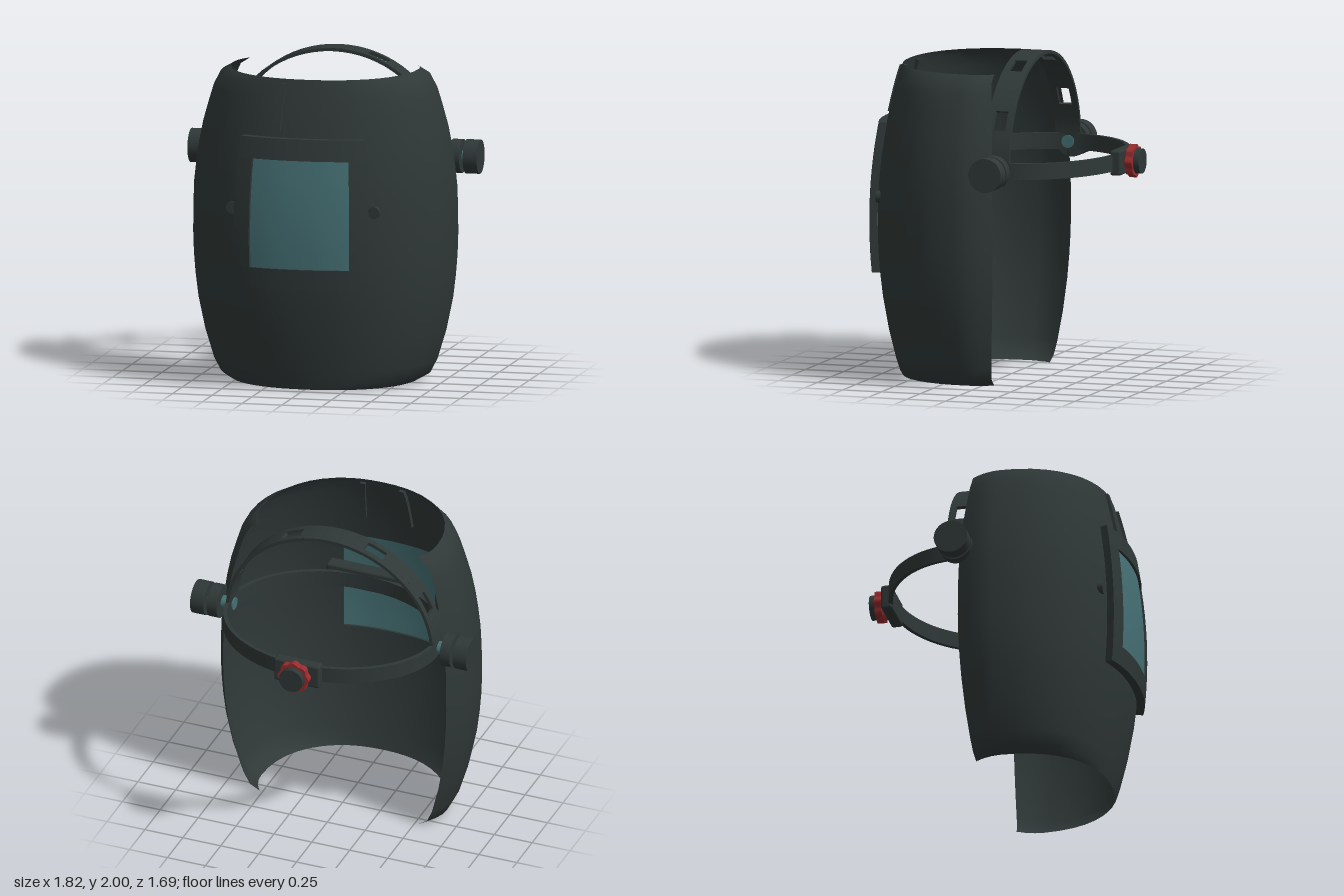
import * as THREE from 'three';
import { RoundedBoxGeometry } from 'three/addons/geometries/RoundedBoxGeometry.js';

const mat = (name, color, side = THREE.FrontSide) => {
  const m = new THREE.MeshStandardMaterial({ color, side });
  m.name = name;
  return m;
};

// Shell half width against distance from mid height (0 = middle, 1 = rim)
const WIDTHS = [[0, 0.82], [0.25, 0.812], [0.46, 0.79], [0.67, 0.75], [0.875, 0.69], [0.96, 0.648], [1, 0.58]];
function halfWidth(t) {
  for (let i = 1; i < WIDTHS.length; i++) {
    const [t0, w0] = WIDTHS[i - 1], [t1, w1] = WIDTHS[i];
    if (t <= t1) return w0 + (w1 - w0) * (t - t0) / (t1 - t0);
  }
  return 0.58;
}

// Shell surface: |u| <= 1 sweeps the rounded front, 1..2 the flaps behind the widest point
function shellPoint(u, y) {
  const t = Math.min(1, Math.abs(y - 0.96) / 0.96), w = halfWidth(t), zc = 0.1;
  const a = Math.abs(u), sgn = Math.sign(u);
  if (a <= 1) {
    const p = 2 / 2.2, ang = a * Math.PI / 2;
    return [sgn * w * Math.sin(ang) ** p, zc + (0.7 - 0.14 * t * t) * Math.max(0, Math.cos(ang)) ** p];
  }
  const s = a - 1, zb = -0.13 + 0.065 * t * t;
  return [sgn * w * (1 - 0.1 * s * s), zc + (zb - zc) * s];
}
const uAt = frac => Math.asin(frac ** 1.1) / (Math.PI / 2);

// Bend a unit box by a rule; arguments of the rule run 0..1
function bentBox(nx, ny, nz, rule) {
  const g = new THREE.BoxGeometry(1, 1, 1, nx, ny, nz), p = g.attributes.position;
  for (let i = 0; i < p.count; i++) {
    p.setXYZ(i, ...rule(p.getX(i) + 0.5, p.getY(i) + 0.5, p.getZ(i) + 0.5));
  }
  g.computeVertexNormals();
  return g;
}

// Curved slab lying on the shell between depths d0 and d1
function slab(u0, u1, y0, y1, d0, d1, nu = 12, nv = 8) {
  return bentBox(nu, nv, 1, (a, b, c) => {
    const u = u0 + (u1 - u0) * a, y = y0 + (y1 - y0) * b, d = d0 + (d1 - d0) * c;
    const [x, z] = shellPoint(u, y), [xa, za] = shellPoint(u - 0.01, y), [xb, zb] = shellPoint(u + 0.01, y);
    const len = Math.hypot(xb - xa, zb - za);
    return [x - d * (zb - za) / len, y, z + d * (xb - xa) / len];
  });
}

const WIN = uAt(0.37), FRAME = uAt(0.49), WIN_LOW = 0.77, WIN_HIGH = 1.44;

// Open shell with a window hole
function shellGeometry() {
  const half = [0.07, 0.145, WIN, FRAME, 0.4, 0.5, 0.6, 0.7, 0.8, 0.9, 1, 1.33, 1.67, 2];
  const us = [...half.map(u => -u).reverse(), 0, ...half];
  const ys = [0, 0.038, 0.12, 0.3, 0.5, 0.645, WIN_LOW, 0.9, 1.05, 1.2, 1.32, WIN_HIGH, 1.57, 1.7, 1.8, 1.882, 1.92];
  const pos = [], idx = [], n = us.length;
  for (const y of ys) for (const u of us) {
    const [x, z] = shellPoint(u, y);
    pos.push(x, y, z);
  }
  for (let j = 0; j < ys.length - 1; j++) for (let i = 0; i < n - 1; i++) {
    const inU = us[i] >= -WIN && us[i + 1] <= WIN;
    if (inU && ys[j] >= WIN_LOW && ys[j + 1] <= WIN_HIGH) continue;
    const a = j * n + i;
    idx.push(a, a + 1, a + n + 1, a, a + n + 1, a + n);
  }
  const g = new THREE.BufferGeometry();
  g.setAttribute('position', new THREE.Float32BufferAttribute(pos, 3));
  g.setIndex(idx);
  g.computeVertexNormals();
  return g;
}

export function createModel() {
  const model = new THREE.Group();
  model.name = 'weldingHelmet';
  const dark = mat('darkPlastic', 0x2f3837);
  const shellMat = mat('shellPlastic', 0x2f3837, THREE.DoubleSide);
  const teal = mat('tealGlass', 0x457074);
  const red = mat('redPlastic', 0x962c2e);
  const add = (name, geo, material, x = 0, y = 0, z = 0) => {
    const m = new THREE.Mesh(geo, material);
    m.name = name;
    m.position.set(x, y, z);
    model.add(m);
    return m;
  };

  add('shell', shellGeometry(), shellMat);

  // Window frame and lens
  add('frameTop', slab(-FRAME, FRAME, WIN_HIGH, 1.57, 0, 0.05, 16, 2), dark);
  add('frameBottom', slab(-FRAME, FRAME, 0.645, WIN_LOW, 0, 0.05, 16, 2), dark);
  add('frameLeft', slab(WIN, FRAME, WIN_LOW, WIN_HIGH, 0, 0.05, 3, 8), dark);
  add('frameRight', slab(-FRAME, -WIN, WIN_LOW, WIN_HIGH, 0, 0.05, 3, 8), dark);
  add('lens', slab(-WIN, WIN, WIN_LOW, WIN_HIGH, 0.015, 0.033), teal);

  const R0 = uAt(0.18), R1 = uAt(0.235);
  for (const s of [-1, 1]) {
    const side = s > 0 ? 'Left' : 'Right';
    // Brow ribs and window screws
    const [a, b] = s > 0 ? [R0, R1] : [-R1, -R0];
    add('rib' + side, slab(a, b, 1.61, 1.895, -0.025, 0.018, 1, 6), dark);
    add('screw' + side, new THREE.CylinderGeometry(0.038, 0.038, 0.05, 20).rotateX(Math.PI / 2), dark, s * 0.445, 1.12, 0.693);
    // Pivot knobs on their axles
    const disc = (name, r, x0, x1, m) =>
      add(name + side, new THREE.CylinderGeometry(r, r, x1 - x0, 32).rotateZ(Math.PI / 2), m, s * (x0 + x1) / 2, 1.35, -0.135);
    disc('pivotKnob', 0.105, 0.822, 0.91, dark);
    disc('pivotDisc', 0.104, 0.735, 0.8, dark);
    disc('pivotAxle', 0.04, 0.655, 0.83, teal);
  }

  // Headband ring
  add('headband', bentBox(72, 1, 1, (a, b, c) => {
    const t = a * Math.PI * 2, d = (c - 1) * 0.025;
    return [Math.sin(t) * (0.69 + d), 1.3 + 0.1 * b, -0.15 + Math.cos(t) * (0.565 + d)];
  }), dark);

  // Overhead strap: two rails joined by bridges that leave four slots
  const strap = (name, deg0, deg1, z0, z1) => add(name, bentBox(Math.ceil((deg1 - deg0) / 5), 1, 1, (a, b, c) => {
    const t = (deg0 + (deg1 - deg0) * a) * Math.PI / 180, d = (b - 1) * 0.02;
    return [Math.sin(t) * (0.685 + d), 1.35 + Math.cos(t) * (0.65 + d), z0 + (z1 - z0) * c];
  }), dark);
  strap('strapRailBack', -90, 90, -0.215, -0.175);
  strap('strapRailFront', -90, 90, -0.095, -0.055);
  for (const [a, b] of [[-90, -68], [-57, -29], [-18, 18], [29, 57], [68, 90]]) {
    strap('strapBridge', a, b, -0.175, -0.095);
  }

  // Brow pad and rear adjuster
  add('browPad', new RoundedBoxGeometry(0.54, 0.14, 0.09, 2, 0.015), dark, 0, 1.36, 0.435);
  add('adjusterBase', new RoundedBoxGeometry(0.3, 0.155, 0.07, 2, 0.015), dark, 0, 1.352, -0.718);
  const wheel = new THREE.Shape();
  for (let i = 0; i < 64; i++) {
    const t = i / 64 * Math.PI * 2, r = 0.097 + 0.006 * Math.cos(t * 8);
    wheel[i ? 'lineTo' : 'moveTo'](r * Math.cos(t), r * Math.sin(t));
  }
  add('adjusterWheel', new THREE.ExtrudeGeometry(wheel, { depth: 0.045, bevelEnabled: false }), red, 0, 1.352, -0.808);
  add('adjusterHub', new THREE.CylinderGeometry(0.095, 0.07, 0.02, 32).rotateX(-Math.PI / 2), red, 0, 1.352, -0.755);
  add('adjusterCap', new THREE.CylinderGeometry(0.077, 0.077, 0.05, 32).rotateX(Math.PI / 2), dark, 0, 1.352, -0.82);

  return model;
}
